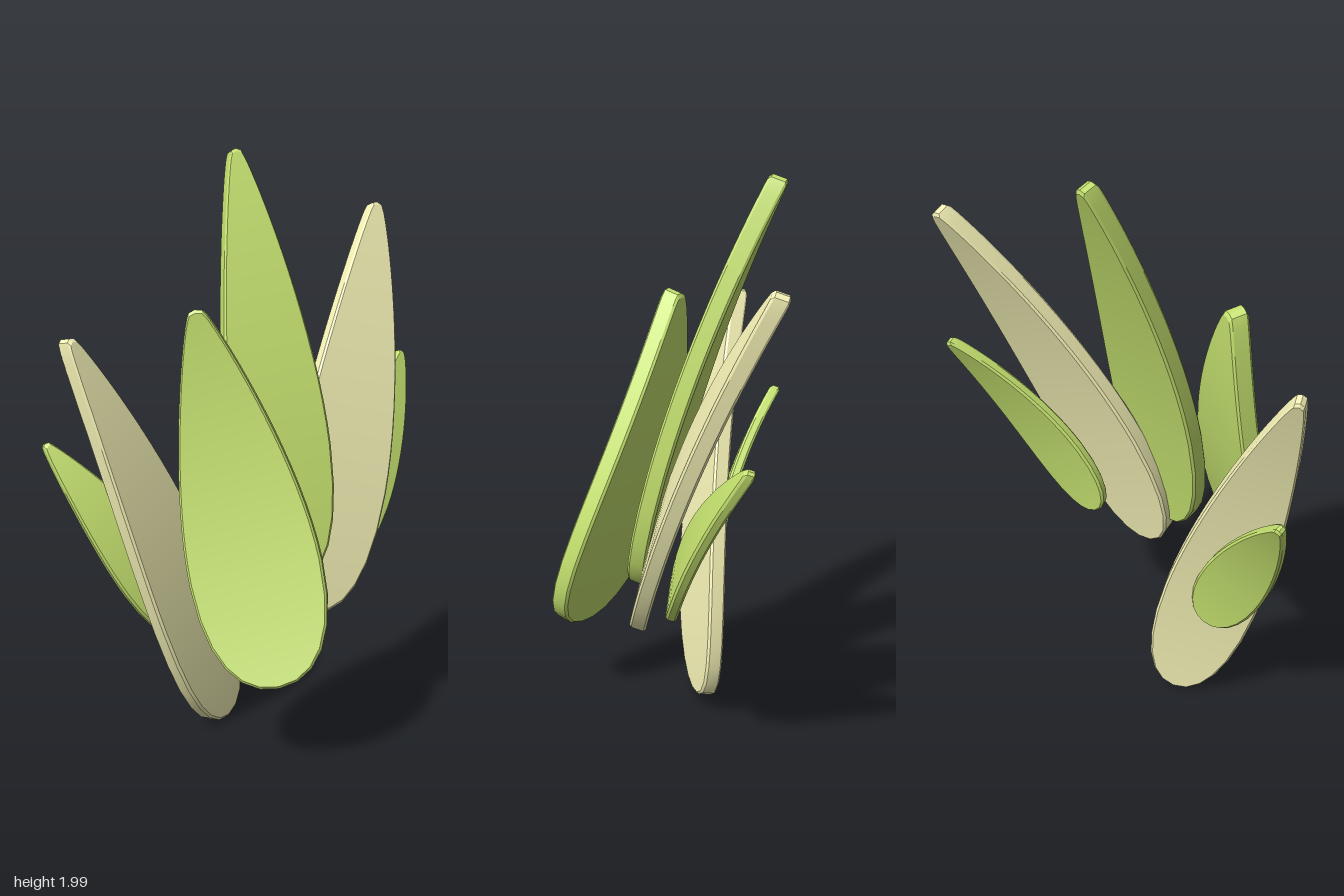
import * as THREE from 'three';
import { toCreasedNormals } from 'three/addons/utils/BufferGeometryUtils.js';

const GREEN = 0xc5e26f;
const CREAM = 0xf5f2b6;

// Teardrop outline of one leaf half: x is half width, y runs from base to tip
function leafOutline(halfWidth, length) {
  const v = (x, y) => new THREE.Vector2(x * halfWidth, y * length);
  const lower = new THREE.CubicBezierCurve(v(0, 0), v(0.6, 0), v(1, 0.1), v(1, 0.3));
  const upper = new THREE.CubicBezierCurve(v(1, 0.3), v(1, 0.55), v(0.36, 0.9), v(0.15, 0.98));
  return [...lower.getPoints(6), ...upper.getPoints(16).slice(1), v(0.1, 0.995), v(0, 1)];
}

// Bent slab with chamfered edges, lofted from eight-sided cross-sections
function leafGeometry(halfWidth, length, thickness, bend) {
  const bevel = 0.008, h = thickness / 2;
  const mid = length * 0.4;
  const sx = 1 - bevel / halfWidth, sy = 1 - bevel / mid;
  const positions = [], index = [];
  const add = (x, y, z) => {
    const s = y / length;
    positions.push(x, y, z + bend * 4 * s * (1 - s));
  };
  const rows = leafOutline(halfWidth, length);
  for (const { x, y } of rows) {
    const fx = x * sx, fy = mid + (y - mid) * sy;
    add(fx, fy, h);
    add(-fx, fy, h);
    add(-x, y, h - bevel);
    add(-x, y, bevel - h);
    add(-fx, fy, -h);
    add(fx, fy, -h);
    add(x, y, bevel - h);
    add(x, y, h - bevel);
  }
  for (let r = 0; r < rows.length - 1; r++) {
    for (let i = 0; i < 8; i++) {
      const a = r * 8 + i, b = r * 8 + (i + 1) % 8;
      index.push(a, a + 8, b, b, a + 8, b + 8);
    }
  }
  const geometry = new THREE.BufferGeometry();
  geometry.setAttribute('position', new THREE.Float32BufferAttribute(positions, 3));
  geometry.setIndex(index);
  return toCreasedNormals(geometry, 0.45);
}

// Places a leaf from base to tip with its front turned towards "facing"
function makeLeaf({ name, color, base, tip, facing, halfWidth, thickness, bend }) {
  const start = new THREE.Vector3(...base);
  const axis = new THREE.Vector3(...tip).sub(start);
  const length = axis.length();
  axis.normalize();
  const side = new THREE.Vector3().crossVectors(axis, new THREE.Vector3(...facing)).normalize();
  const normal = new THREE.Vector3().crossVectors(side, axis);
  const mesh = new THREE.Mesh(
    leafGeometry(halfWidth, length, thickness, bend),
    new THREE.MeshStandardMaterial({ color })
  );
  mesh.name = name;
  mesh.quaternion.setFromRotationMatrix(new THREE.Matrix4().makeBasis(side, axis, normal));
  mesh.position.copy(start);
  return mesh;
}

const LEAVES = [
  { name: 'centreLeaf', color: GREEN, base: [0.015, 0.545, 0.09], tip: [0.04, 1.99, -0.37],
    facing: [-0.2, 0.3, 0.93], halfWidth: 0.18, thickness: 0.065, bend: 0.05 },
  { name: 'leftTallLeaf', color: CREAM, base: [0.09, 0.43, 0.085], tip: [0.625, 1.77, -0.37],
    facing: [-0.03, 0.3, 0.95], halfWidth: 0.185, thickness: 0.06, bend: 0.055 },
  { name: 'frontLeaf', color: GREEN, base: [-0.185, 0.29, 0.34], tip: [-0.295, 1.51, -0.025],
    facing: [-0.55, 0.2, 0.8], halfWidth: 0.225, thickness: 0.07, bend: -0.06 },
  { name: 'rightTallLeaf', color: CREAM, base: [-0.14, 0.01, -0.14], tip: [-0.665, 1.41, -0.25],
    facing: [0.35, 0.1, 0.93], halfWidth: 0.165, thickness: 0.06, bend: 0.06 },
  { name: 'leftSmallLeaf', color: GREEN, base: [0.26, 0.55, -0.03], tip: [0.69, 1.23, -0.285],
    facing: [0.12, 0.35, 0.92], halfWidth: 0.115, thickness: 0.038, bend: 0.045 },
  { name: 'rightSmallLeaf', color: GREEN, base: [-0.27, 0.35, -0.15], tip: [-0.69, 1.025, -0.395],
    facing: [-0.12, 0.35, 0.92], halfWidth: 0.115, thickness: 0.038, bend: 0.045 }
];

export function createModel() {
  const group = new THREE.Group();
  group.name = 'leafCluster';
  for (const leaf of LEAVES) group.add(makeLeaf(leaf));
  return group;
}
